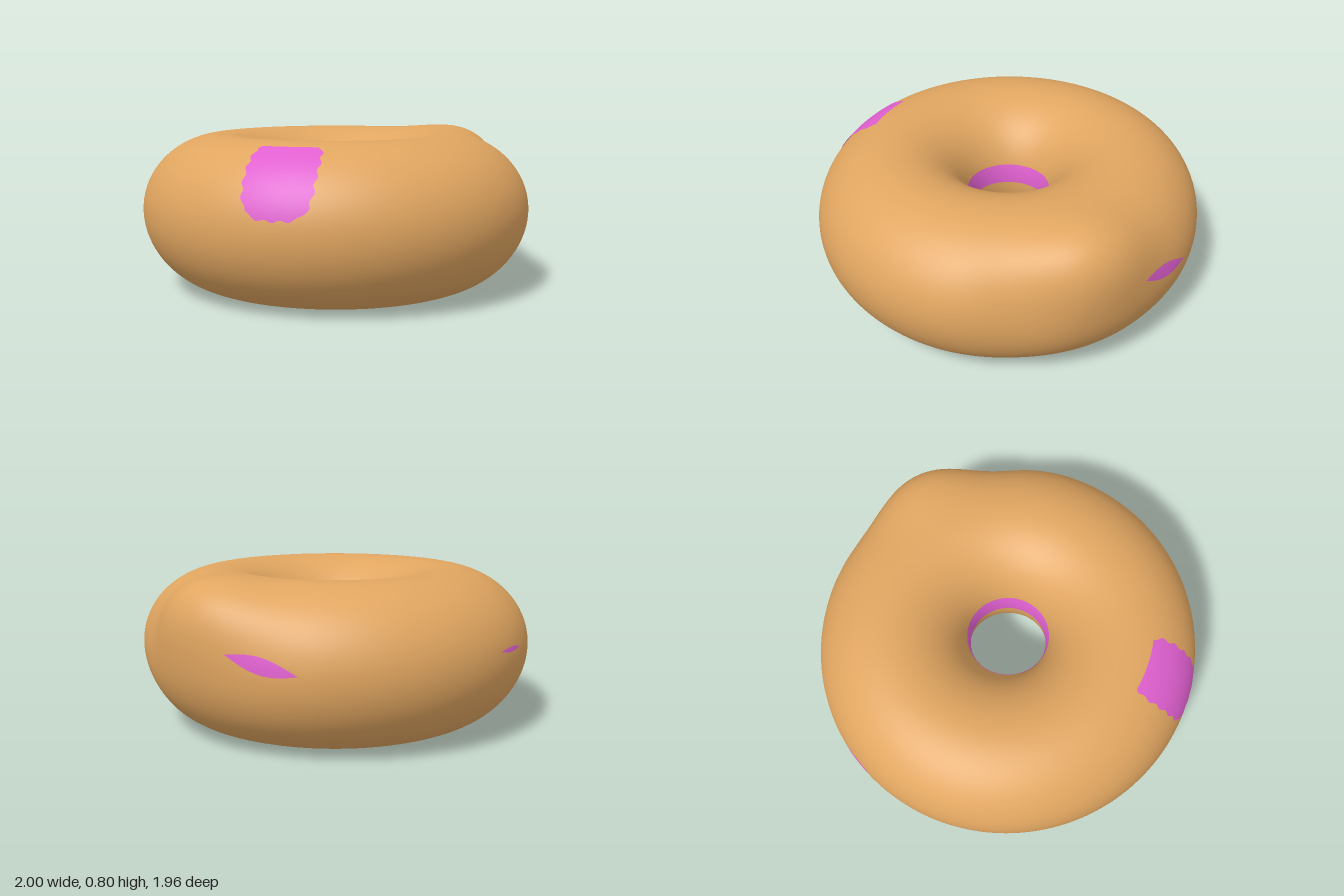
import * as THREE from 'three';
import { mergeVertices } from 'three/addons/utils/BufferGeometryUtils.js';

const R = 0.59, TUBE = 0.39;
const bell = (x, c, s) => Math.exp(-((x - c) ** 2) / (2 * s * s));

// Point on the lumpy ring: a runs round the ring (0 = +x, PI/2 = back), p round the tube (0 = outside, PI/2 = top)
function ringPoint(a, p, lift = 0) {
  a = Math.atan2(Math.sin(a), Math.cos(a));
  p = Math.atan2(Math.sin(p), Math.cos(p));
  const outer = Math.max(0, Math.cos(p));
  let t = TUBE + lift;
  t += 0.09 * bell(a, 0.86, 0.24) * bell(p, 0.78, 0.36);      // raised corner
  t -= 0.035 * bell(a, 0.45, 0.16) * bell(p, 0.25, 0.5);      // dent beside it
  t -= 0.012 * bell(a, 1.22, 0.14) * bell(p, 0.25, 0.5);      // shallow dent behind it
  t += 0.02 * Math.cos(a) ** 2 * outer * bell(p, 0.25, 0.6);  // slightly wide sides
  const r = R + t * Math.cos(p);
  return [r * Math.cos(a), TUBE + t * Math.sin(p), -r * Math.sin(a)];
}

// Grid over (u, v) in 0..1, mapped to ring angles by the given rule
function skin(nu, nv, angles, lift) {
  const pos = [], index = [];
  for (let i = 0; i <= nu; i++) {
    for (let j = 0; j <= nv; j++) {
      const [a, p] = angles(i / nu, j / nv);
      pos.push(...ringPoint(a, p, lift));
    }
  }
  for (let i = 0; i < nu; i++) {
    for (let j = 0; j < nv; j++) {
      const k = i * (nv + 1) + j, m = k + nv + 1;
      index.push(k, m, m + 1, k, m + 1, k + 1);
    }
  }
  let geo = new THREE.BufferGeometry();
  geo.setAttribute('position', new THREE.Float32BufferAttribute(pos, 3));
  geo.setIndex(index);
  geo = mergeVertices(geo, 1e-5);
  geo.computeVertexNormals();
  return geo;
}

export function createModel() {
  const group = new THREE.Group();
  const dough = new THREE.MeshStandardMaterial({ color: 0xe0a560 });
  const icing = new THREE.MeshStandardMaterial({ color: 0xe060d0, side: THREE.DoubleSide });
  const add = (name, geo, mat) => {
    const mesh = new THREE.Mesh(geo, mat);
    mesh.name = name;
    group.add(mesh);
  };
  const lerp = THREE.MathUtils.lerp;
  const TAU = Math.PI * 2;

  // Ring of dough
  add('dough', skin(160, 80, (u, v) => [u * TAU, v * TAU]), dough);

  // Icing band lining the hole
  add('holeIcing', skin(96, 6, (u, v) => [u * TAU, lerp(Math.PI - 0.27, Math.PI, v)], 0.002), icing);

  // Front icing patch with a slightly ragged outline
  add('frontIcing', skin(24, 30, (u, v) => {
    const s = u * 2 - 1, q = v * 2 - 1;
    const p = lerp(0.19 + 0.1 * s ** 4 + 0.015 * Math.sin(u * 23), 1.24, v);
    const [x, , z] = ringPoint(-Math.PI / 2, p);
    const half = 0.165 - 0.03 * q ** 4 + 0.007 * Math.sin(v * 31) * s;
    return [-Math.PI / 2 + (s * half - 0.02) / Math.hypot(x, z), p];
  }, 0.003), icing);

  // Lens-shaped icing slivers: [name, start, end, tube angle at start, at end, half height]
  const slivers = [
    ['backIcing', 1.11, 1.46, 0.26, 0.08, 0.1],
    ['sideIcing', Math.PI - 0.64, Math.PI - 0.43, 0.16, 0.15, 0.03],
  ];
  for (const [name, a0, a1, p0, p1, h] of slivers) {
    add(name, skin(20, 6, (u, v) =>
      [lerp(a0, a1, u), lerp(p0, p1, u) + (v * 2 - 1) * h * Math.sin(Math.PI * u)], 0.003), icing);
  }
  return group;
}
